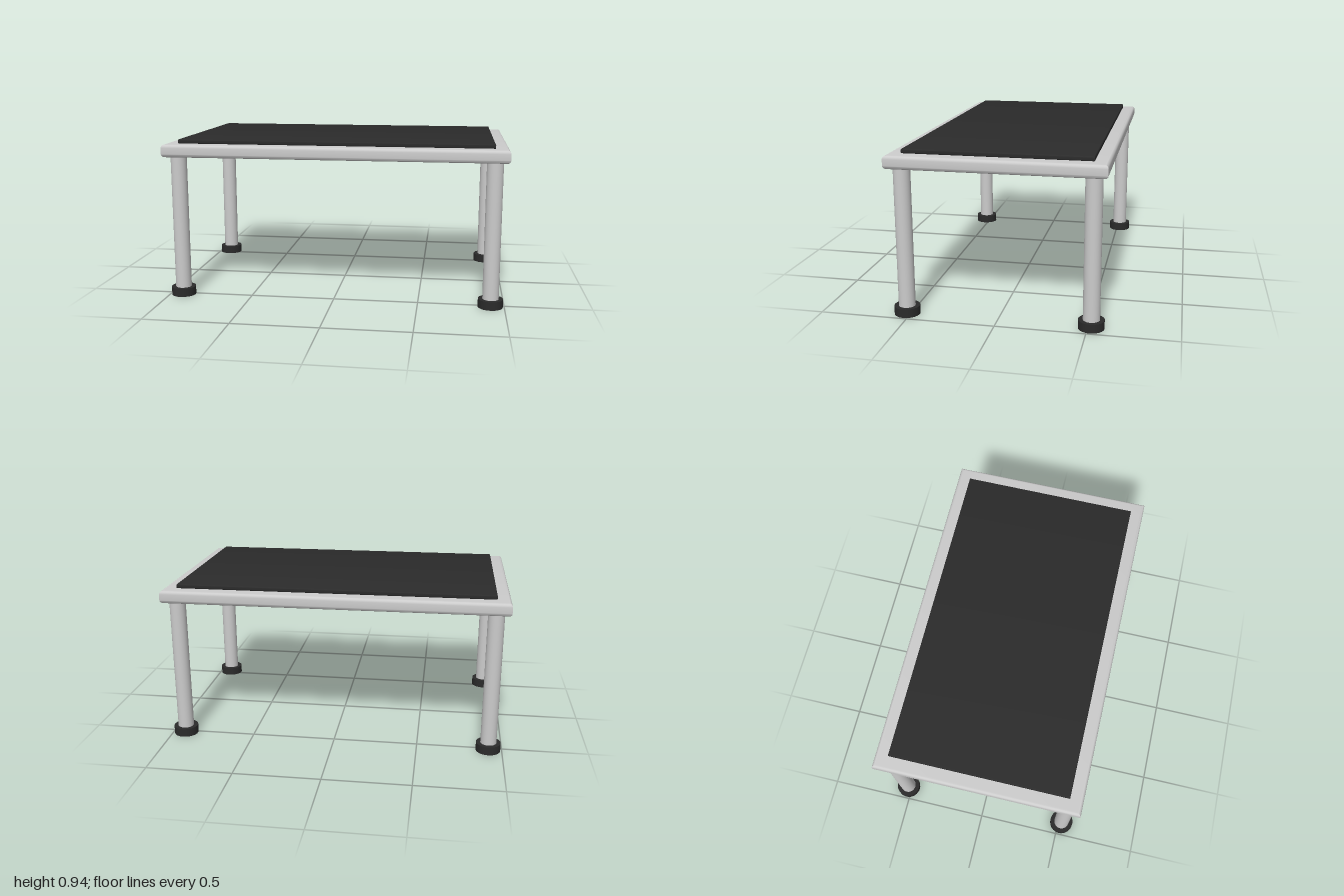
import * as THREE from 'three';
import { toCreasedNormals } from 'three/addons/utils/BufferGeometryUtils.js';

const steel = new THREE.MeshStandardMaterial({ color: 0xcccccc });
const rubber = new THREE.MeshStandardMaterial({ color: 0x2b2b2b });

// Flat slab with rounded upper and lower edges that meet in mitred corners
function slab(name, width, depth, bottom, top, round, material) {
  const x = width / 2 - round, z = depth / 2 - round;
  const outline = new THREE.Shape([
    new THREE.Vector2(-x, -z), new THREE.Vector2(x, -z),
    new THREE.Vector2(x, z), new THREE.Vector2(-x, z),
  ]);
  const geometry = new THREE.ExtrudeGeometry(outline, {
    depth: top - bottom - 2 * round,
    bevelThickness: round, bevelSize: round, bevelSegments: 5,
  });
  geometry.rotateX(-Math.PI / 2);
  geometry.translate(0, bottom + round, 0);
  const mesh = new THREE.Mesh(toCreasedNormals(geometry, Math.PI / 5), material);
  mesh.name = name;
  return mesh;
}

// Upright cylinder between two heights
function post(name, radius, bottom, top, material) {
  const mesh = new THREE.Mesh(new THREE.CylinderGeometry(radius, radius, top - bottom, 32), material);
  mesh.position.y = (bottom + top) / 2;
  mesh.name = name;
  return mesh;
}

export function createModel() {
  const model = new THREE.Group();
  model.name = 'stepStool';

  // Platform and its rubber mat
  model.add(slab('platform', 2, 1.195, 0.845, 0.92, 0.02, steel));
  model.add(slab('mat', 1.84, 1.04, 0.918, 0.945, 0.007, rubber));

  // Four tubular legs, each with a rubber foot
  for (const [side, sx] of [['Left', 1], ['Right', -1]]) {
    for (const [end, sz] of [['front', 1], ['back', -1]]) {
      const leg = new THREE.Group();
      leg.name = `${end}${side}Leg`;
      leg.add(post('tube', 0.047, 0.005, 0.85, steel));
      leg.add(post('foot', 0.072, 0, 0.05, rubber));
      leg.position.set(sx * 0.92, 0, sz * 0.52);
      model.add(leg);
    }
  }
  return model;
}
